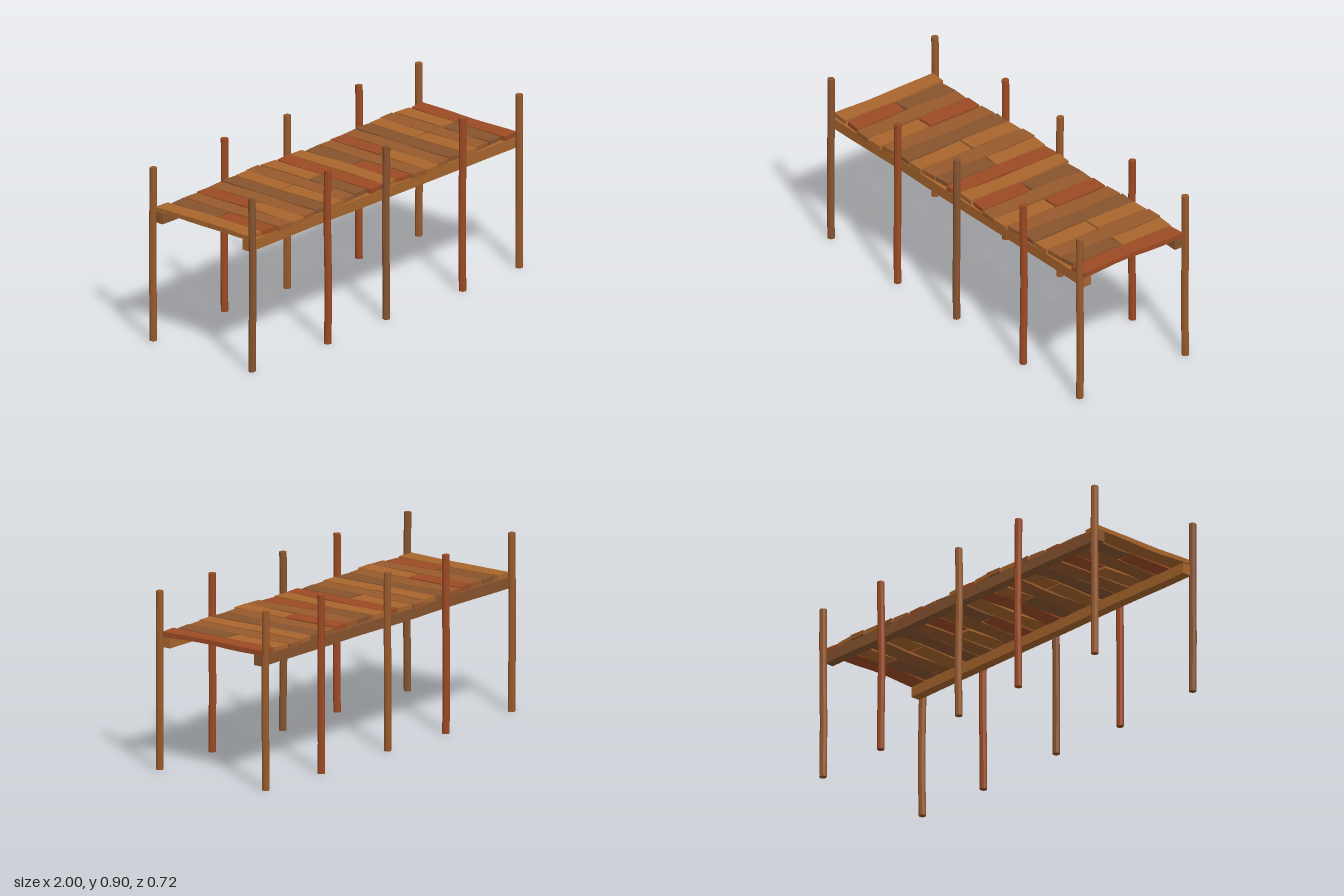
import * as THREE from 'three';

const material = (color) => new THREE.MeshStandardMaterial({ color, flatShading: true });
const ORANGE = material(0xa8652c), BROWN = material(0x87542f), RED = material(0x9c4a24), TAN = material(0x985a2c);

// Moves every vertex of a geometry by a rule, then facets it
function warp(geometry, rule) {
  const p = geometry.attributes.position, v = new THREE.Vector3();
  for (let i = 0; i < p.count; i++) {
    rule(v.fromBufferAttribute(p, i));
    p.setXYZ(i, v.x, v.y, v.z);
  }
  geometry.computeVertexNormals();
  return geometry;
}

function addMesh(parent, name, geometry, mat) {
  const mesh = new THREE.Mesh(geometry, mat);
  mesh.name = name;
  parent.add(mesh);
  return mesh;
}

// One hand-cut board between two z positions, with wavy sides and uneven underside
function board(z0, z1, seed) {
  const length = z1 - z0;
  const geometry = new THREE.BoxGeometry(0.091, 0.022, length, 1, 1, Math.max(4, Math.round(length / 0.07)));
  return warp(geometry, (v) => {
    const z = v.z + (z0 + z1) / 2, side = Math.sign(v.x);
    v.x += 0.0035 * Math.sin(z * 9 + seed * 1.7) + side * 0.002 * Math.sin(z * 17 + seed * 2.9);
    if (v.y < 0) v.y -= 0.004 * (0.5 + 0.5 * Math.sin(z * 13 + seed));
    // skewed saw cut at both ends
    if (Math.abs(Math.abs(v.z) - length / 2) < 1e-4) v.z += side * 0.004 * Math.sin(seed * 2.3);
    v.z += (z0 + z1) / 2;
  });
}

export function createModel() {
  const group = new THREE.Group();

  // Deck: two runs of ten boards [back z, front z, materials, joint z]
  const pattern = [
    [-0.31, 0.305, [ORANGE]],
    [-0.295, 0.305, [BROWN, RED], 0.005],
    [-0.295, 0.325, [TAN]],
    [-0.30, 0.33, [RED, ORANGE], 0.015],
    [-0.31, 0.31, [TAN]],
    [-0.315, 0.305, [BROWN]],
    [-0.315, 0.31, [ORANGE, ORANGE], -0.015],
    [-0.33, 0.30, [TAN]],
    [-0.318, 0.295, [ORANGE, BROWN], -0.01],
    [-0.31, 0.31, [RED]],
  ];
  const deck = new THREE.Group();
  deck.name = 'deck';
  group.add(deck);
  for (let i = 0; i < 20; i++) {
    const [back, front, mats, joint] = pattern[i % 10];
    const seed = i % 10 + 1;
    const spans = mats.length === 1 ? [[back, front]] : [[back, joint - 0.005], [joint + 0.005, front]];
    spans.forEach(([z0, z1], k) => {
      const plank = addMesh(deck, 'plank', board(z0, z1, seed + k * 4), mats[k]);
      plank.position.set(-0.934 + i * 0.0985, 0.69 + 0.0015 * Math.sin(seed * 2.1 + k), 0);
    });
  }

  // Long beams under the deck edges
  for (const side of [1, -1]) {
    const geometry = warp(new THREE.BoxGeometry(1.965, 0.055, 0.052, 16, 1, 1), (v) => {
      v.z += 0.002 * Math.sin(v.x * 6.4 + side);
      v.y += 0.001 * Math.sin(v.x * 9);
    });
    const beam = addMesh(group, side > 0 ? 'frontBeam' : 'backBeam', geometry, side > 0 ? ORANGE : BROWN);
    beam.position.set(0.002, 0.65, side * 0.287);
  }

  // Slightly crooked posts in pairs: [x, distance from centre line, material]
  const posts = [[-0.98, 0.327, BROWN], [-0.44, 0.34, RED], [0.005, 0.325, BROWN], [0.55, 0.34, RED], [0.98, 0.33, TAN]];
  posts.forEach(([x, z, mat], i) => {
    for (const side of [1, -1]) {
      const geometry = warp(new THREE.CylinderGeometry(0.0185, 0.0185, 0.905, 8, 6), (v) => {
        v.x += 0.0015 * Math.sin(v.y * 8 + i * 2 + side);
        v.z += 0.002 * Math.sin(v.y * 7 + i + side * 2);
      });
      const post = addMesh(group, side > 0 ? 'frontPost' : 'backPost', geometry, side < 0 && mat === BROWN ? TAN : mat);
      post.position.set(x, 0.4525, side * z);
    }
  });

  return group;
}
